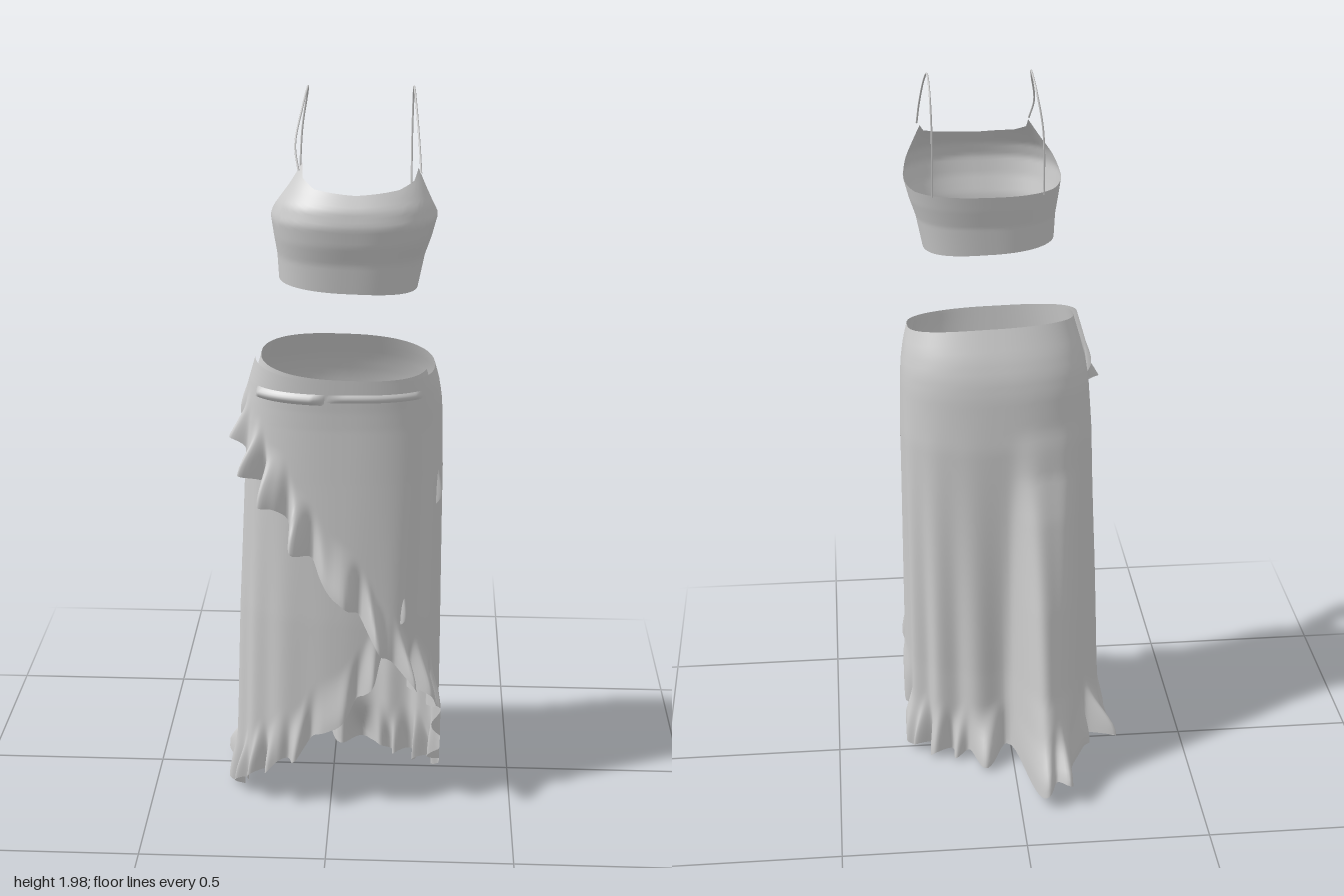
import * as THREE from 'three';

const rad = Math.PI / 180;

// Linear lookup in rows [key, ...values] with ascending keys.
function lookup(rows, k) {
  let i = 0;
  while (i < rows.length - 2 && k > rows[i + 1][0]) i++;
  const [p, q] = [rows[i], rows[i + 1]];
  const t = THREE.MathUtils.clamp((k - p[0]) / (q[0] - p[0]), 0, 1);
  return p.slice(1).map((v, j) => v + (q[j + 1] - v) * t);
}

// Rounded oval point at angle a (0 = +x, 90 degrees = +z) for section [xMin, xMax, zBack, zFront].
function oval([x0, x1, z0, z1], a, power = 0.8) {
  const f = (v) => Math.sign(v) * Math.abs(v) ** power;
  return [(x0 + x1) / 2 + (x1 - x0) / 2 * f(Math.cos(a)), (z0 + z1) / 2 + (z1 - z0) / 2 * f(Math.sin(a))];
}

// Cloth sheet from point(u, v); u runs around the body, v downward.
function sheet(name, nu, nv, closed, point) {
  const pos = [], index = [], cols = closed ? nu : nu + 1;
  for (let i = 0; i < cols; i++) for (let j = 0; j <= nv; j++) pos.push(...point(i / nu, j / nv));
  for (let i = 0; i < nu; i++) for (let j = 0; j < nv; j++) {
    const a = i * (nv + 1) + j, b = ((i + 1) % cols) * (nv + 1) + j;
    index.push(a, a + 1, b, b, a + 1, b + 1);
  }
  const geo = new THREE.BufferGeometry();
  geo.setAttribute('position', new THREE.Float32BufferAttribute(pos, 3));
  geo.setIndex(index);
  geo.computeVertexNormals();
  const mesh = new THREE.Mesh(geo, cloth);
  mesh.name = name;
  return mesh;
}

const cloth = new THREE.MeshStandardMaterial({ color: 0xcccccc, side: THREE.DoubleSide });

// Crop top: sections by height, upper edge by angle.
const topSections = [
  [1.51, -0.13, 0.22, 0.03, 0.305], [1.6, -0.135, 0.238, 0.022, 0.318], [1.65, -0.143, 0.255, 0.01, 0.335],
  [1.7, -0.15, 0.268, 0, 0.345], [1.74, -0.138, 0.262, 0, 0.337], [1.78, -0.115, 0.25, 0, 0.312], [1.84, -0.085, 0.235, 0, 0.262],
];
const topEdge = [
  [-90, 1.69], [-30, 1.69], [0, 1.705], [15, 1.74], [25, 1.79], [32, 1.825], [42, 1.8], [60, 1.785], [90, 1.775],
  [120, 1.785], [138, 1.805], [148, 1.835], [155, 1.79], [165, 1.74], [180, 1.705], [210, 1.69], [270, 1.69],
];
function topPoint(u, v) {
  const deg = 270 - 360 * u, a = deg * rad;
  const bottom = 1.525 - 0.011 * Math.cos(a);
  const y = THREE.MathUtils.lerp(lookup(topEdge, deg)[0], bottom, v);
  const [x, z] = oval(lookup(topSections, y), a);
  return [x, y, z];
}

// Skirt: body sections by height, hem height by angle along the wrap.
const skirtSections = [
  [0, -0.27, 0.285, -0.078, 0.25], [0.3, -0.258, 0.283, -0.07, 0.26], [0.6, -0.25, 0.285, -0.07, 0.265],
  [1, -0.235, 0.288, -0.07, 0.262], [1.15, -0.224, 0.285, -0.06, 0.262], [1.2, -0.216, 0.282, -0.052, 0.264],
  [1.25, -0.204, 0.274, -0.036, 0.268], [1.34, -0.178, 0.25, 0.005, 0.275],
];
const hemRows = [
  [-345, 1.0], [-330, 0.85], [-295, 0.52], [-282, 0.37], [-254, 0.19], [-225, 0.11], [-209, 0.07], [-195, 0.04],
  [-180, 0.03], [-145, 0.05], [-115, 0.09], [-90, 0.045], [-45, 0.03], [-15, 0.04], [5, 0.16], [22, 0.3],
  [53, 0.42], [74, 0.55], [90, 0.7], [115, 0.9], [165, 1.12], [175, 1.2],
];
const trainRows = [[0, 0.26], [0.1, 0.25], [0.18, 0.205], [0.3, 0.165], [0.55, 0.115], [0.8, 0.055], [0.92, 0.018], [1.05, 0]];
const flares = [[-150, 0.06, 8], [-80, 0.045, 6], [-20, 0.02, 7]];
const waistY = (a) => 1.305 - 0.022 * Math.sin(a) - 0.01 * Math.cos(a);
const layer = (deg) => 0.012 * THREE.MathUtils.smoothstep(deg, -40, 40) - 0.01 * (1 - THREE.MathUtils.smoothstep(deg, -230, -160));

function skirtPoint(u, v) {
  const deg = 175 - 520 * u, a = deg * rad;
  const hem = lookup(hemRows, deg)[0] + 0.01 * Math.sin(a * 19);
  const y = THREE.MathUtils.lerp(waistY(a), hem, v);
  let [x, z] = oval(lookup(skirtSections, y), a);
  // train trailing behind
  const back = THREE.MathUtils.clamp(-2 * Math.sin(a), 0, 1);
  z -= lookup(trainRows, y)[0] * back * Math.exp(-(((x + 0.1) / 0.08) ** 4));
  // long folds, hem ruffle, flares and overlap spacing
  const drop = 1 - THREE.MathUtils.smoothstep(y, 0.2, 1.15);
  const ruffle = (1 - THREE.MathUtils.smoothstep(y - hem, 0, 0.16)) * THREE.MathUtils.smoothstep(1.25 - y, 0, 0.25);
  let out = layer(deg) + 0.009 * drop * Math.sin(a * 13) * (1 - 0.8 * Math.max(0, Math.sin(a)));
  const wave = Math.sin(a * 21) + 0.4 * Math.sin(a * 34 + 1);
  out += ruffle * (deg > 25 ? 0.028 + 0.03 * wave : 0.01 + 0.017 * wave);
  for (const [at, size, width] of flares) out += size * ruffle * Math.exp(-(((deg - at) / width) ** 2));
  x += out * Math.cos(a);
  z += out * Math.sin(a);
  return [THREE.MathUtils.clamp(x, -0.307, 0.303), y, z];
}

// Flat tie following the front of the waist.
function tie(name, from, to, y0, y1, lift) {
  return sheet(name, 48, 6, false, (u, v) => {
    const a = (from + (to - from) * u) * rad, y = y1 + (y0 - y1) * v;
    const [x, z] = oval(lookup(skirtSections, y), a);
    const out = 0.012 + lift * Math.sin(Math.PI * v) * Math.min(1, 8 * u, 8 * (1 - u));
    return [x + out * Math.cos(a), y, z + out * Math.sin(a)];
  });
}

function strap(name, points) {
  const curve = new THREE.CatmullRomCurve3(points.map((p) => new THREE.Vector3(...p)));
  const mesh = new THREE.Mesh(new THREE.TubeGeometry(curve, 64, 0.0025, 6), cloth);
  mesh.name = name;
  return mesh;
}

export function createModel() {
  const model = new THREE.Group();
  model.name = 'wrapSkirtAndTop';
  const top = new THREE.Group();
  top.name = 'cropTop';
  top.add(
    sheet('bodice', 180, 28, true, topPoint),
    strap('rightStrap', [[-0.075, 1.825, 0.265], [-0.085, 1.88, 0.23], [-0.07, 1.965, 0.15], [-0.062, 1.998, 0.08],
      [-0.068, 1.965, 0.015], [-0.083, 1.87, -0.012], [-0.09, 1.69, 0.015]]),
    strap('leftStrap', [[0.225, 1.82, 0.26], [0.22, 1.88, 0.22], [0.21, 1.965, 0.14], [0.204, 1.998, 0.075],
      [0.202, 1.965, 0.005], [0.2, 1.87, -0.018], [0.2, 1.69, 0.02]]),
  );
  const skirt = new THREE.Group();
  skirt.name = 'skirt';
  skirt.add(
    sheet('wrapPanel', 480, 70, false, skirtPoint),
    tie('waistTie', 96, 40, 1.228, 1.25, 0.005),
    tie('waistTieEnd', 150, 97, 1.22, 1.25, 0.011),
  );
  model.add(top, skirt);
  return model;
}
